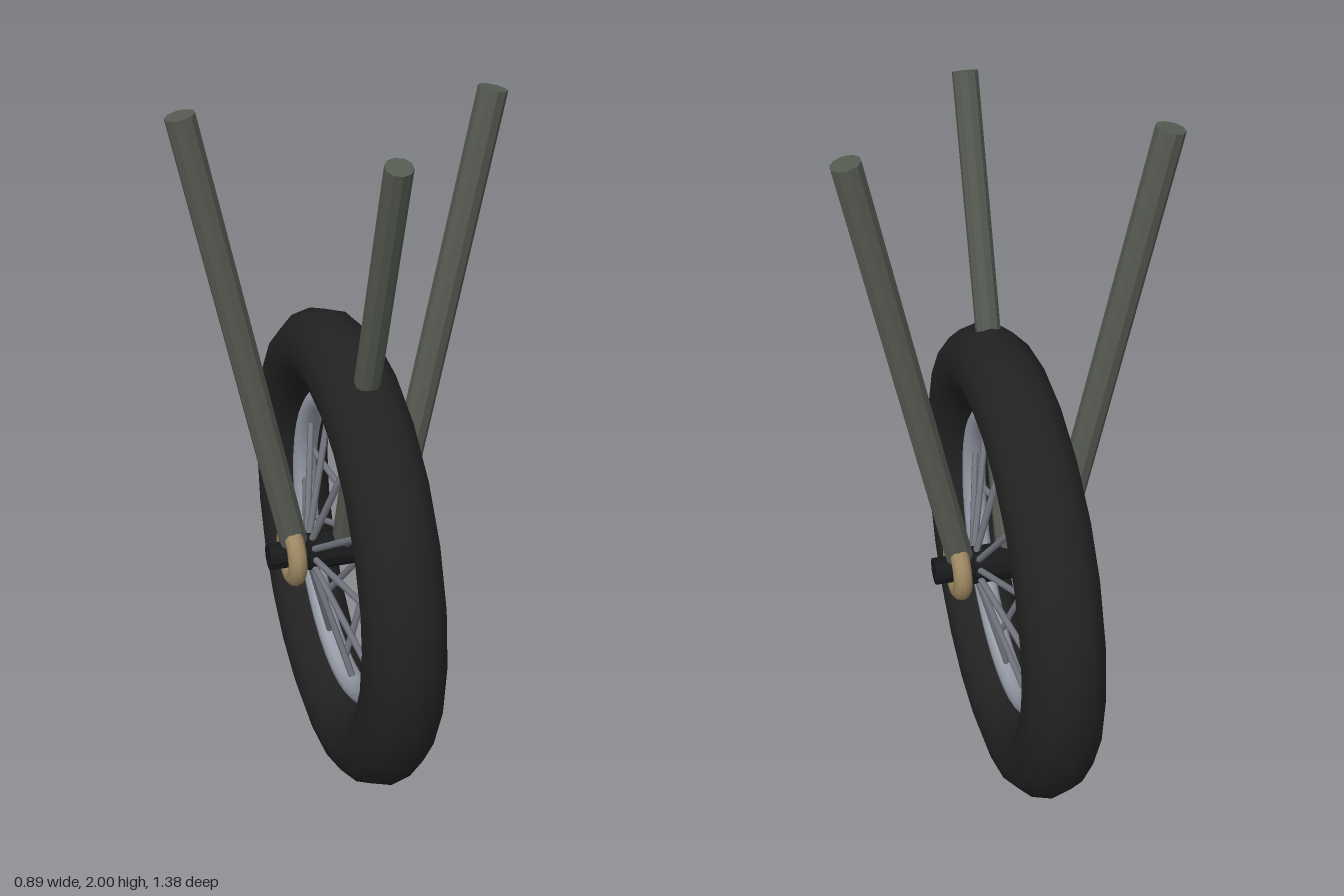
import * as THREE from 'three';

const mat = (name, color, flatShading = false) => {
  const m = new THREE.MeshStandardMaterial({ color, flatShading });
  m.name = name;
  return m;
};

export function createModel() {
  const model = new THREE.Group();
  model.name = 'wheelWithFork';
  const rubber = mat('rubber', 0x222222);
  const rimMetal = mat('rimMetal', 0x9a9fab);
  const spokeMetal = mat('spokeMetal', 0x73757f);
  const brass = mat('brass', 0x9c8762);
  const black = mat('blackSteel', 0x17191a, true);
  const strutPaint = mat('strutPaint', 0x555a51, true);

  const Y = 0.69; // wheel centre height
  const add = (name, geo, material, parent = model) => {
    const mesh = new THREE.Mesh(geo, material);
    mesh.name = name;
    parent.add(mesh);
    return mesh;
  };
  // straight rod between two points
  const rod = (name, a, b, radius, sides, material, parent) => {
    const p = new THREE.Vector3(...a), q = new THREE.Vector3(...b);
    const dir = q.clone().sub(p);
    const mesh = add(name, new THREE.CylinderGeometry(radius, radius, dir.length(), sides), material, parent);
    mesh.position.copy(p).add(q).multiplyScalar(0.5);
    mesh.quaternion.setFromUnitVectors(new THREE.Vector3(0, 1, 0), dir.normalize());
    return mesh;
  };
  // ring around the x axis
  const ring = (name, x, R, r, sides, segments, material) => {
    const mesh = add(name, new THREE.TorusGeometry(R, r, sides, segments).rotateY(Math.PI / 2), material);
    mesh.position.set(x, Y, 0);
    return mesh;
  };

  // wheel
  ring('tire', 0, 0.575, 0.113, 12, 24, rubber);
  ring('rim', 0, 0.426, 0.036, 10, 40, rimMetal);

  // hub and axle
  rod('axle', [-0.22, Y, 0], [0.22, Y, 0], 0.04, 10, black);
  rod('hub', [-0.11, Y, 0], [0.11, Y, 0], 0.055, 12, black);

  // spokes, leaning in from alternate hub ends
  const spokes = new THREE.Group();
  spokes.name = 'spokes';
  model.add(spokes);
  for (let i = 0; i < 20; i++) {
    const a = (i / 20) * Math.PI * 2;
    const c = Math.cos(a), s = Math.sin(a);
    const side = i % 2 ? 1 : -1;
    rod('spoke', [side * 0.1, Y + 0.03 * s, 0.03 * c], [0, Y + 0.42 * s, 0.42 * c], 0.01, 6, spokeMetal, spokes);
  }

  // brass collars and fork legs, mirrored
  for (const [label, s] of [['left', 1], ['right', -1]]) {
    ring(label + 'Collar', s * 0.151, 0.068, 0.027, 10, 24, brass);
    rod(label + 'ForkLeg', [s * 0.145, 0.73, 0], [s * 0.408, 1.99, -0.028], 0.04, 10, strutPaint);
  }

  // central front strut, running through the tire to the hub
  rod('frontStrut', [0, 0.71, 0.01], [0, 1.987, 0.462], 0.035, 10, strutPaint);
  return model;
}
